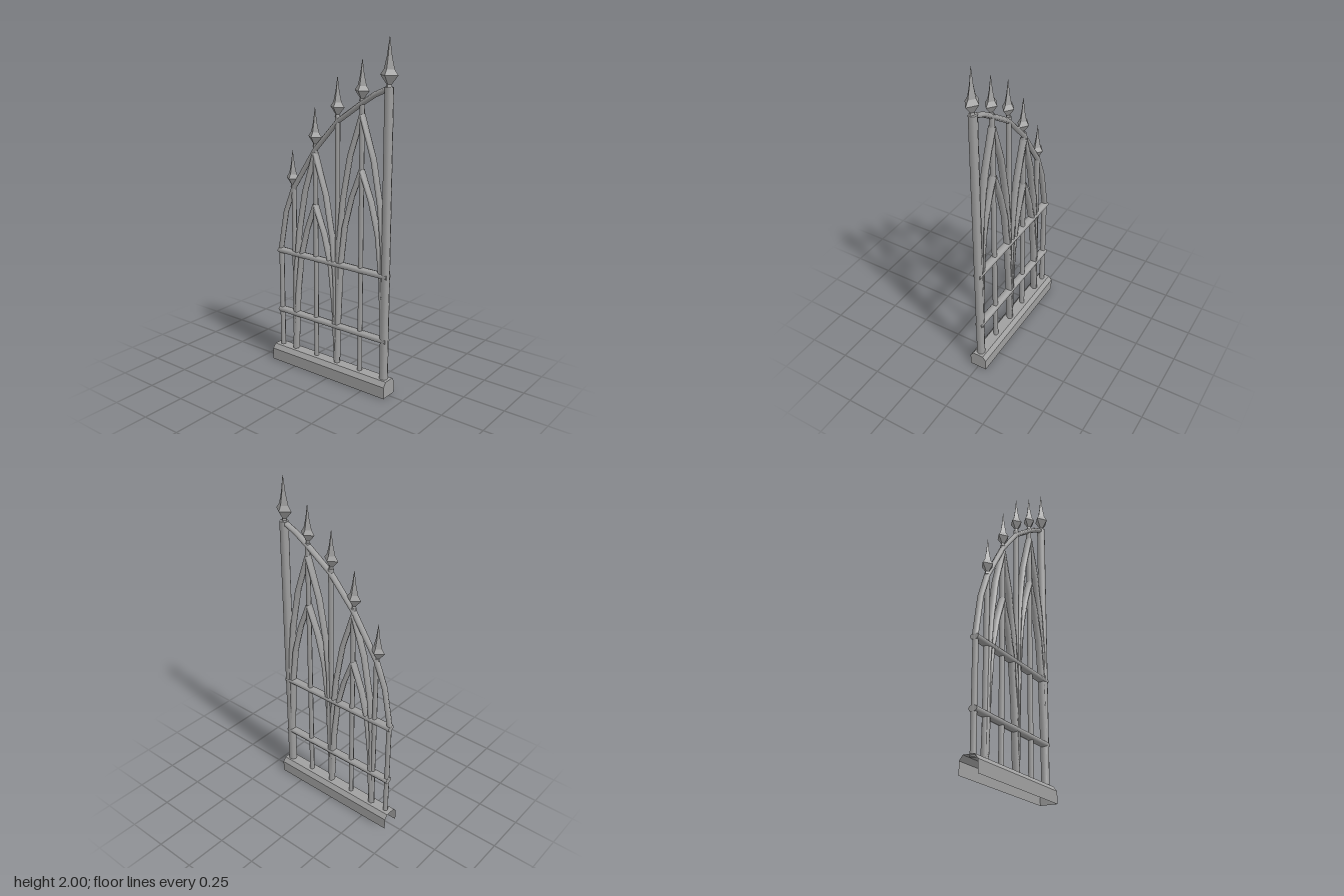
import * as THREE from 'three';

export function createModel() {
  const model = new THREE.Group();
  const iron = new THREE.MeshStandardMaterial({ color: 0xa0a0a0, side: THREE.DoubleSide });
  iron.name = 'iron grey';

  const add = (name, geometry, x = 0, y = 0, z = 0) => {
    const mesh = new THREE.Mesh(geometry, iron);
    mesh.name = name;
    mesh.position.set(x, y, z);
    model.add(mesh);
    return mesh;
  };

  // Six-sided bar swept through points [z, y], with half-width w in the plane and half-depth d across x
  function bar(name, path, w, d) {
    const n = 6, pos = [], idx = [];
    path.forEach(([z, y], i) => {
      const a = path[Math.max(i - 1, 0)], b = path[Math.min(i + 1, path.length - 1)];
      const len = Math.hypot(b[0] - a[0], b[1] - a[1]);
      const nz = -(b[1] - a[1]) / len, ny = (b[0] - a[0]) / len;
      for (let k = 0; k < n; k++) {
        const t = (k + 0.5) / n * Math.PI * 2;
        const s = Math.sin(t) * w * (nz < 0 ? -1 : 1);
        pos.push(Math.cos(t) * d, y + ny * s, z + nz * s);
      }
    });
    // Keep faces outward whichever way the path runs
    const flip = path[path.length - 1][0] > path[0][0] === path[path.length - 1][1] < path[0][1];
    const up = path[path.length - 1][1] > path[0][1];
    for (let i = 0; i < path.length - 1; i++)
      for (let k = 0; k < n; k++) {
        const a = i * n + k, b = i * n + (k + 1) % n;
        if (up && flip) idx.push(a, a + n, b, b, a + n, b + n);
        else idx.push(a, a + n, b, b, a + n, b + n);
      }
    const g = new THREE.BufferGeometry();
    g.setAttribute('position', new THREE.Float32BufferAttribute(pos, 3));
    g.setIndex(idx);
    g.computeVertexNormals();
    add(name, g);
  }

  // Chamfered base shell, open underneath and at the rear end
  const profile = [[0.053, 0], [0.053, 0.07], [0.033, 0.097], [-0.033, 0.097], [-0.053, 0.07], [-0.053, 0]];
  const front = 0.405, back = -0.425;
  for (let i = 0; i < profile.length - 1; i++) {
    const [ax, ay] = profile[i], [bx, by] = profile[i + 1];
    const g = new THREE.BufferGeometry();
    g.setAttribute('position', new THREE.Float32BufferAttribute(
      [ax, ay, front, ax, ay, back, bx, by, back, bx, by, front], 3));
    g.setIndex([0, 1, 2, 0, 2, 3]);
    g.computeVertexNormals();
    add('basePanel', g);
  }
  const cap = new THREE.Shape(profile.map(([x, y]) => new THREE.Vector2(x, y)));
  add('baseEnd', new THREE.ShapeGeometry(cap), 0, 0, front);

  // Upright posts: [z, top, radius, sides]
  const posts = [
    [0.368, 1.74, 0.025, 8], [0.2, 1.66, 0.015, 6], [0.037, 1.56, 0.015, 6],
    [-0.12, 1.38, 0.015, 6], [-0.283, 1.13, 0.015, 6], [-0.386, 0.72, 0.016, 6],
  ];
  posts.forEach(([z, top, r, sides], i) => {
    const name = i === 0 ? 'mainPost' : i === 5 ? 'rearPost' : 'upright';
    add(name, new THREE.CylinderGeometry(r, r, top - 0.09, sides), 0, (top + 0.09) / 2, z);
  });

  // Horizontal rails, deeper than they are tall
  for (const y of [0.33, 0.712]) {
    const rail = add('rail', new THREE.CylinderGeometry(0.018, 0.018, 0.785, 8), 0, y, -0.007);
    rail.rotation.x = Math.PI / 2;
    rail.scale.x = 1.45;
  }

  // Sloping curved top rail
  bar('topRail', [[0.37, 1.735], [0.28, 1.695], [0.2, 1.645], [0.04, 1.535], [-0.12, 1.36],
    [-0.285, 1.11], [-0.345, 0.96], [-0.39, 0.72]], 0.015, 0.018);

  // Pointed arches: half-spans [offset from centre, y], mirrored about the centre upright
  const outer = [[0, 1.585], [0.078, 1.35], [0.125, 1.1], [0.149, 0.86], [0.153, 0.6], [0.163, 0.1]];
  const inner = [[0, 1.285], [0.065, 1.12], [0.112, 0.94], [0.14, 0.7], [0.158, 0.33], [0.163, 0.1]];
  for (const [centre, drop, span] of [[0.2, 0, 1], [-0.122, 0.245, 0.98]])
    for (const side of [1, -1])
      for (const [name, half] of [['outerArch', outer], ['innerArch', inner]])
        bar(name, half.map(([o, y]) => [centre + side * o * span, Math.max(y - drop, 0.1)])
          .filter(([, y], i, p) => i === 0 || y < p[i - 1][1]), 0.014, 0.022);

  // Four-sided spear finials: [z, bottom, height, half-width in z, half-width in x]
  const spear = [[0, 0], [0.4, 0], [0.28, 0.07], [1, 0.25], [0.6, 0.36], [0.3, 0.6], [0, 1]];
  const finial = new THREE.LatheGeometry(spear.map(([r, y]) => new THREE.Vector2(r, y)), 4).toNonIndexed();
  finial.computeVertexNormals();
  const finials = [
    [0.368, 1.735, 0.265, 0.056, 0.041], [0.2, 1.655, 0.225, 0.048, 0.036],
    [0.037, 1.555, 0.225, 0.048, 0.036], [-0.12, 1.375, 0.225, 0.048, 0.036],
    [-0.287, 1.115, 0.225, 0.048, 0.036],
  ];
  for (const [z, y, h, wz, wx] of finials) add('finial', finial, -0.003, y, z).scale.set(wx, h, wz);

  return model;
}
